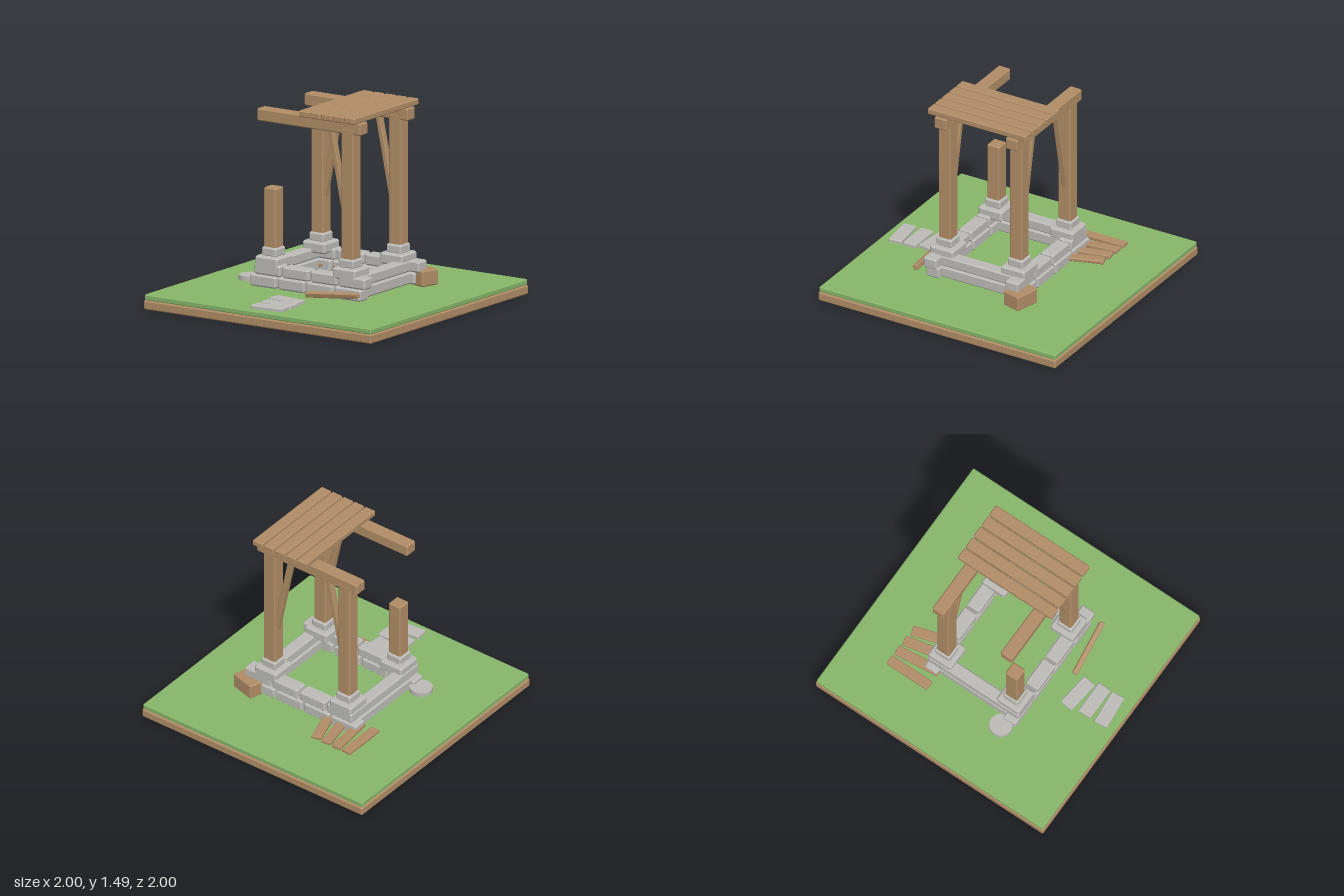
import * as THREE from 'three';
import { ConvexGeometry } from 'three/addons/geometries/ConvexGeometry.js';

// Box with flat chamfers along every edge
function chamferBox(w, h, d, c) {
  const pts = [], x = w / 2, y = h / 2, z = d / 2;
  for (const i of [-1, 1]) for (const j of [-1, 1]) for (const k of [-1, 1]) {
    pts.push(
      new THREE.Vector3(i * x, j * (y - c), k * (z - c)),
      new THREE.Vector3(i * (x - c), j * y, k * (z - c)),
      new THREE.Vector3(i * (x - c), j * (y - c), k * z));
  }
  return new ConvexGeometry(pts);
}

export function createModel() {
  const model = new THREE.Group();
  model.name = 'ruinedShelter';
  const material = (name, color) => {
    const m = new THREE.MeshStandardMaterial({ color });
    m.name = name;
    return m;
  };
  const wood = material('wood', 0xb08c66);
  const stone = material('stone', 0xbbbab6);
  const grass = material('grass', 0x86b569);

  const group = (name) => {
    const g = new THREE.Group();
    g.name = name;
    model.add(g);
    return g;
  };
  const block = (parent, name, mat, size, pos, rot = [0, 0, 0], chamfer = 0.009) => {
    const mesh = new THREE.Mesh(chamferBox(...size, chamfer), mat);
    mesh.name = name;
    mesh.position.set(...pos);
    mesh.rotation.set(...rot);
    parent.add(mesh);
    return mesh;
  };

  // Ground slab
  const ground = group('ground');
  block(ground, 'earth', wood, [2, 0.07, 2], [0, 0.035, 0], [0, 0, 0], 0.01);
  block(ground, 'grassTop', grass, [1.99, 0.044, 1.99], [0, 0.09, 0], [0, 0, 0], 0.008);

  // Two courses of stones at the front and back, long stones at the sides
  const walls = group('stoneWalls');
  const courses = [{ y: 0.177, shift: 0, h: 0.088 }, { y: 0.266, shift: 0.038, h: 0.084 }];
  for (const { y, shift, h } of courses) {
    for (const s of [-1, 1]) {
      for (let i = 0; i < 4; i++) {
        block(walls, 'wallStone', stone, [0.23, h, 0.11], [-0.37 + i * 0.248 + shift, y, s * 0.345], [0, 0, 0], 0.012);
      }
      block(walls, 'sideStone', stone, [0.095, h, 0.61], [s * 0.4, y, 0], [0, 0, 0], 0.012);
    }
  }

  // Corner posts on stepped footings; the front right one is broken off
  const posts = group('posts');
  for (const sx of [-1, 1]) for (const sz of [-1, 1]) {
    const x = sx * 0.34, z = sz * 0.3;
    const broken = sx < 0 && sz > 0;
    const top = broken ? 0.865 : 1.39;
    block(posts, 'footingBase', stone, [0.2, 0.085, 0.2], [x, 0.32, z], [0, 0, 0], 0.014);
    block(posts, 'footingCap', stone, [0.13, 0.07, 0.13], [x, 0.39, z], [0, 0, 0], 0.012);
    block(posts, broken ? 'brokenPost' : 'post', wood, [0.106, top - 0.4, 0.104], [x, (top + 0.4) / 2, z]);
    // Slanted brace from post to beam
    if (!broken) {
      block(posts, 'brace', wood, [0.04, 0.76, 0.05], [sx * 0.24, 1.02, z], [0, 0, sx * 0.202], 0.006);
    }
  }

  // Beams and roof boards
  const roof = group('roof');
  for (const s of [-1, 1]) {
    block(roof, 'beam', wood, [0.91, 0.092, 0.1], [0, 1.394, s * 0.3]);
  }
  for (let i = 0; i < 5; i++) {
    block(roof, 'roofBoard', wood, [0.088, 0.047, 0.825], [i * 0.1, 1.464, 0], [0, 0, 0], 0.007);
  }

  // Fallen boards fanned out at the back
  const debris = group('debris');
  for (let i = 0; i < 4; i++) {
    block(debris, 'fallenBoard', wood, [0.075, 0.028, 0.355], [-0.58 + i * 0.11, 0.174, -0.463], [0, i * 0.105, 0], 0.005);
  }
  block(debris, 'fallenBeam', wood, [0.43, 0.04, 0.04], [0.31, 0.182, 0.492], [0.3, 0.14, 0.035], 0.006);
  block(debris, 'woodBlock', wood, [0.203, 0.118, 0.155], [0.478, 0.182, -0.393], [0, -0.26, 0]);

  // Paving slabs leading to the front
  const slabs = [[-0.003, 0.615, -0.12], [0.02, 0.746, 0], [0.024, 0.874, 0.09]];
  for (const [x, z, turn] of slabs) {
    block(debris, 'pavingSlab', stone, [0.26, 0.034, 0.105], [x, 0.122, z], [0, turn, 0], 0.007);
  }

  // Round flat stone
  const disc = new THREE.Mesh(new THREE.CylinderGeometry(0.085, 0.085, 0.034, 20), stone);
  disc.name = 'roundStone';
  disc.position.set(-0.537, 0.175, 0.31);
  debris.add(disc);

  return model;
}
